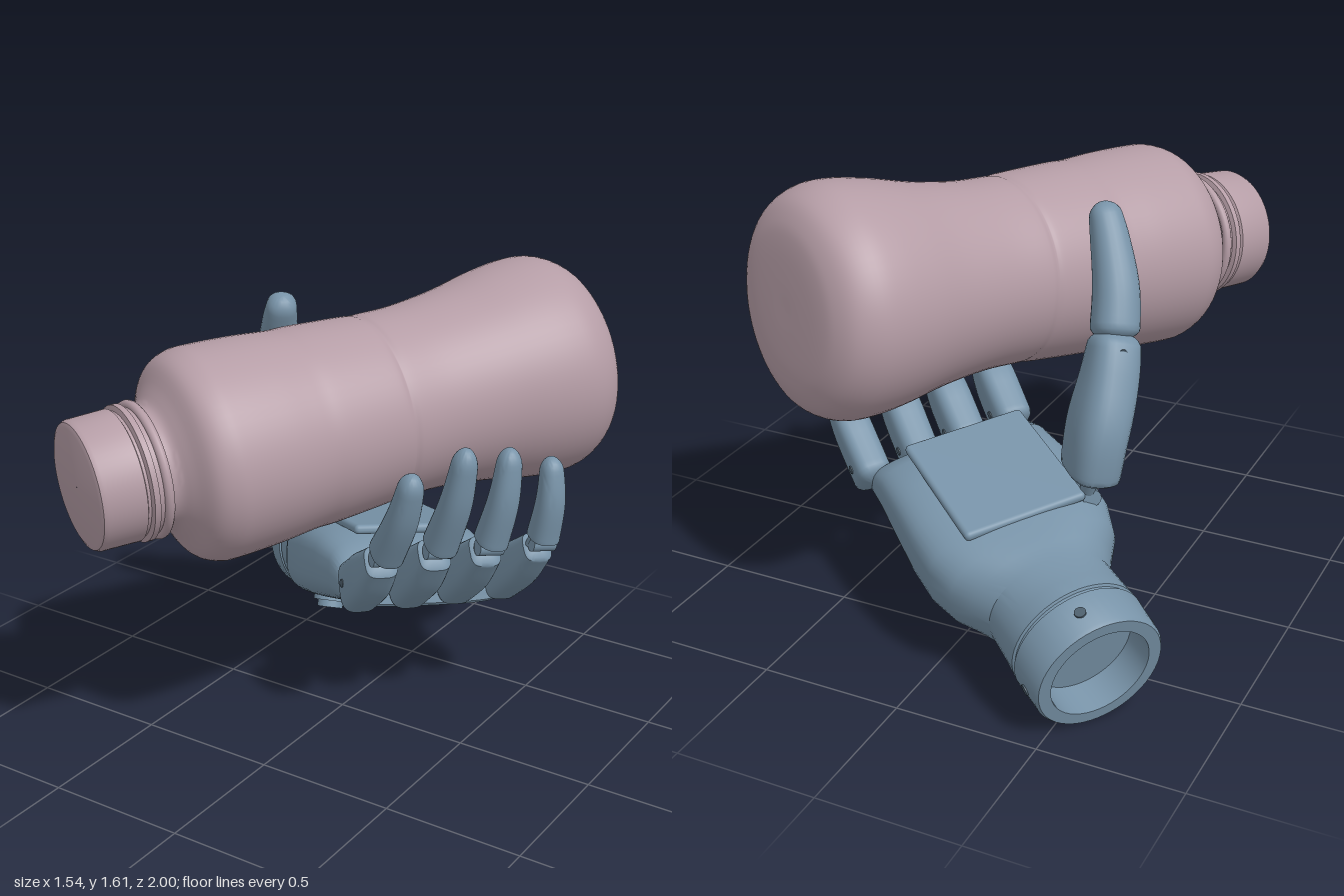
import * as THREE from 'three';
import { toCreasedNormals } from 'three/addons/utils/BufferGeometryUtils.js';
import { RoundedBoxGeometry } from 'three/addons/geometries/RoundedBoxGeometry.js';

const V = (x, y, z) => new THREE.Vector3(x, y, z);
const pink = new THREE.MeshStandardMaterial({ color: 0xb59da6 });
const blue = new THREE.MeshStandardMaterial({ color: 0x7893a8 });
const dark = new THREE.MeshStandardMaterial({ color: 0x4d5f6d });

// Hand frame: h towards the fingers, l across to the little finger, n out of the palm
const WRIST = V(-0.64, 0.225, -0.825);
const h = V(0.777, 0.24, 0.58).normalize();
const l = V(0.525, -0.14, -0.84).addScaledVector(h, 0.113).normalize();
const n = h.clone().cross(l).normalize();
const handPoint = (s, a, b) => WRIST.clone().addScaledVector(h, s).addScaledVector(l, a).addScaledVector(n, b);

function add(group, name, geometry, material) {
  const mesh = new THREE.Mesh(geometry, material);
  mesh.name = name;
  group.add(mesh);
  return mesh;
}

// Skins a list of closed superellipse rings { c, u, v, e }
function loft(rings, sides, crease) {
  const pos = [], idx = [];
  const pw = (x, e) => Math.sign(x) * Math.abs(x) ** (2 / e);
  for (const { c, u, v, e } of rings) {
    for (let j = 0; j < sides; j++) {
      const t = (j / sides) * Math.PI * 2;
      const p = c.clone().addScaledVector(u, pw(Math.cos(t), e)).addScaledVector(v, pw(Math.sin(t), e));
      pos.push(p.x, p.y, p.z);
    }
  }
  for (let i = 0; i < rings.length - 1; i++) {
    for (let j = 0; j < sides; j++) {
      const a = i * sides + j, b = i * sides + (j + 1) % sides;
      idx.push(a, b, a + sides, b, b + sides, a + sides);
    }
  }
  const g = new THREE.BufferGeometry();
  g.setAttribute('position', new THREE.Float32BufferAttribute(pos, 3));
  g.setIndex(idx);
  return toCreasedNormals(g, crease);
}

// Limb along a curve; radii are [across, deep], ends rounded over the given fractions
function limb(points, radii, across, round, e = 2.4) {
  const path = new THREE.CatmullRomCurve3(points);
  const size = new THREE.CatmullRomCurve3(radii.map(([a, b]) => V(a, b, 0)));
  const rings = [], steps = 24;
  for (let i = 0; i <= steps; i++) {
    const t = 0.5 - 0.5 * Math.cos((i / steps) * Math.PI);
    const w = path.getTangent(t);
    const u = across.clone().addScaledVector(w, -across.dot(w)).normalize();
    const v = w.clone().cross(u);
    const r = size.getPoint(t);
    const d = Math.max((round[0] - t) / round[0], (t - 1 + round[1]) / round[1], 0);
    const k = Math.max(0.004, Math.sqrt(Math.max(0, 1 - d * d)));
    rings.push({ c: path.getPoint(t), u: u.multiplyScalar(r.x * k), v: v.multiplyScalar(r.y * k), e });
  }
  return loft(rings, 28, 0.8);
}

// Cylinder between two points
function rod(group, name, a, b, r, material) {
  const d = b.clone().sub(a);
  const m = add(group, name, new THREE.CylinderGeometry(r, r, d.length(), 20), material);
  m.position.copy(a).add(b).multiplyScalar(0.5);
  m.quaternion.setFromUnitVectors(V(0, 1, 0), d.normalize());
}

function makeBottle() {
  const g = new THREE.Group();
  g.name = 'bottle';
  const end = V(-0.415, 1.1, 0.905), base = V(0.487, 1.24, -0.795);
  g.position.copy(end);
  g.quaternion.setFromUnitVectors(V(0, 1, 0), base.sub(end).normalize());
  const P = (list) => list.map(([t, r]) => new THREE.Vector2(r, t));
  const lathe = (pts) => toCreasedNormals(new THREE.LatheGeometry(pts, 64), 0.6);

  // Body with shoulder, soft dent, pressed groove, waist and rounded foot
  const body = new THREE.SplineCurve(P([[0.2, 0.2], [0.25, 0.207], [0.285, 0.25], [0.33, 0.325],
    [0.39, 0.356], [0.46, 0.36], [0.6, 0.354], [0.7, 0.345], [0.75, 0.341], [0.81, 0.341], [0.95, 0.333],
    [1.03, 0.327], [1.055, 0.321], [1.08, 0.324], [1.22, 0.325], [1.4, 0.345], [1.56, 0.376], [1.68, 0.391],
    [1.77, 0.386], [1.845, 0.348], [1.885, 0.285], [1.9, 0.215], [1.905, 0.1], [1.905, 0.001]]));
  add(g, 'bottleBody', lathe(body.getPoints(110)), pink).position.y = 0.015;

  add(g, 'cap', lathe(P([[0, 0.001], [0, 0.195], [0.006, 0.21], [0.02, 0.217], [0.15, 0.22],
    [0.155, 0.21], [0.165, 0.21], [0.17, 0.228], [0.19, 0.228], [0.195, 0.212], [0.215, 0.212]])), pink);
  const collar = add(g, 'neckCollar', new THREE.TorusGeometry(0.216, 0.016, 12, 64), pink);
  collar.rotation.x = Math.PI / 2;
  collar.position.y = 0.225;
  return g;
}

function makePalm() {
  const g = new THREE.Group();
  g.name = 'palmAndWrist';
  // Each row: distance along hand, half width, back depth, palm depth, squareness
  const rows = [[0.12, 0.001, 0.001, 0.001, 2], [0.12, 0.175, 0.175, 0.175, 2], [0, 0.175, 0.175, 0.175, 2],
    [0, 0.218, 0.218, 0.218, 2], [0.012, 0.226, 0.226, 0.226, 2], [0.14, 0.232, 0.23, 0.23, 2],
    [0.145, 0.222, 0.222, 0.222, 2], [0.155, 0.222, 0.222, 0.222, 2], [0.16, 0.23, 0.23, 0.23, 2],
    [0.22, 0.226, 0.222, 0.222, 2], [0.34, 0.222, 0.2, 0.195, 2.1], [0.4, 0.26, 0.185, 0.2, 2.3],
    [0.46, 0.305, 0.17, 0.205, 2.6], [0.56, 0.335, 0.15, 0.205, 3], [0.7, 0.338, 0.13, 0.2, 3.4],
    [0.86, 0.33, 0.11, 0.19, 3.4], [1.0, 0.32, 0.092, 0.16, 3.4], [1.08, 0.315, 0.083, 0.11, 3.4],
    [1.14, 0.305, 0.075, 0.02, 3.4], [1.15, 0.29, 0.065, 0.0, 3.4], [1.15, 0.001, 0.03, -0.028, 3.4]];
  const rings = rows.map(([s, w, lo, hi, e]) => ({
    c: handPoint(s, 0, (hi - lo) / 2), u: l.clone().multiplyScalar(w), v: n.clone().multiplyScalar((hi + lo) / 2), e }));
  add(g, 'palm', loft(rings, 48, 0.6), blue);

  // Raised grip pad
  const pad = add(g, 'palmPad', new RoundedBoxGeometry(0.5, 0.035, 0.44, 3, 0.016), blue);
  pad.position.copy(handPoint(0.78, -0.01, 0.195));
  pad.quaternion.setFromRotationMatrix(new THREE.Matrix4().makeBasis(h, n, l.clone().negate()));
  pad.rotateZ(-0.03);

  // Cuff screws and release button
  for (let i = 0; i < 4; i++) {
    const a = (i / 4) * Math.PI * 2 + 1.4;
    const at = (r) => handPoint(0.075, Math.cos(a) * r, Math.sin(a) * r);
    rod(g, 'cuffScrew', at(0.2), at(0.233), 0.019, dark);
  }
  const out = V(0.13, -0.88, 0.42).normalize();
  const root = handPoint(0.2, 0, 0);
  const along = (d) => root.clone().addScaledVector(out, d);
  rod(g, 'buttonCollar', along(0.17), along(0.235), 0.07, blue);
  rod(g, 'releaseButton', along(0.17), along(0.262), 0.052, blue);
  return g;
}

function makeFinger(name, base, joint, tip, k) {
  const g = new THREE.Group();
  g.name = name;
  const dir = joint.clone().sub(base).normalize();
  const across = l.clone();
  const deep = dir.clone().cross(across).normalize();
  const start = base.clone().addScaledVector(dir, -0.03);
  const stop = joint.clone().addScaledVector(dir, -0.03);
  add(g, 'lowerSegment', limb([start, base.clone().lerp(joint, 0.45).addScaledVector(deep, -0.008), stop],
    [[0.068 * k, 0.095 * k], [0.07 * k, 0.088 * k], [0.056 * k, 0.056 * k]], across, [0.1, 0.04], 3.4), blue);

  // Knuckle pins and the pair of links at the middle joint
  const pin = (c, w, r, m) => rod(g, 'jointPin', c.clone().addScaledVector(across, -w), c.clone().addScaledVector(across, w), r, m);
  pin(base.clone().addScaledVector(dir, 0.05), 0.073 * k, 0.015, dark);
  pin(joint, 0.046 * k, 0.03, blue);
  const up = tip.clone().sub(joint).normalize();
  for (const side of [-1, 1]) {
    const o = across.clone().multiplyScalar(side * 0.028);
    rod(g, 'jointLink', stop.clone().addScaledVector(dir, -0.03).add(o), joint.clone().addScaledVector(up, 0.05).add(o), 0.016, blue);
  }

  const foot = joint.clone().addScaledVector(up, 0.02);
  const bow = V(0.018, 0, 0.01);
  add(g, 'fingertip', limb([foot, foot.clone().lerp(tip, 0.5).add(bow), tip],
    [[0.058 * k, 0.068 * k], [0.052 * k, 0.056 * k], [0.038 * k, 0.042 * k]], across, [0.02, 0.16]), blue);
  return g;
}

function makeThumb() {
  const g = new THREE.Group();
  g.name = 'thumb';
  const across = V(0.66, 0, 0.75);
  // Hinge on the edge of the palm
  for (const side of [-1, 1]) {
    const o = across.clone().multiplyScalar(side * 0.045);
    rod(g, 'thumbLink', V(-0.32, 0.48, -0.28).add(o), V(-0.4, 0.74, -0.38).add(o), 0.027, blue);
  }
  rod(g, 'thumbPin', V(-0.405, 0.56, -0.365), V(-0.295, 0.56, -0.245), 0.032, blue);
  add(g, 'thumbLower', limb([V(-0.405, 0.655, -0.4), V(-0.422, 0.82, -0.38), V(-0.435, 1.0, -0.31), V(-0.428, 1.13, -0.25)],
    [[0.13, 0.085], [0.135, 0.09], [0.105, 0.088], [0.08, 0.078]], across, [0.08, 0.12], 2.8), blue);
  add(g, 'thumbTip', limb([V(-0.43, 1.1, -0.265), V(-0.402, 1.25, -0.195), V(-0.348, 1.4, -0.13), V(-0.305, 1.5, -0.09)],
    [[0.082, 0.08], [0.078, 0.075], [0.066, 0.062], [0.048, 0.048]], across, [0.08, 0.14]), blue);
  rod(g, 'thumbJointPin', V(-0.492, 1.09, -0.34), V(-0.367, 1.09, -0.195), 0.018, dark);
  return g;
}

export function createModel() {
  const model = new THREE.Group();
  model.name = 'handHoldingBottle';
  const hand = new THREE.Group();
  hand.name = 'hand';
  hand.add(makePalm(), makeThumb());

  const first = V(0.1, 0.545, 0.06), last = V(0.41, 0.475, -0.41);
  const fingers = [
    ['indexFinger', V(0.31, 0.77, 0.22), V(0.46, 1.125, 0.29), 1],
    ['middleFinger', V(0.425, 0.765, 0.06), V(0.55, 1.175, 0.105), 1],
    ['ringFinger', V(0.545, 0.755, -0.08), V(0.61, 1.13, -0.085), 0.97],
    ['littleFinger', V(0.66, 0.735, -0.25), V(0.68, 1.06, -0.25), 0.92]];
  fingers.forEach(([name, joint, tip, k], i) =>
    hand.add(makeFinger(name, first.clone().lerp(last, i / 3), joint, tip, k)));

  model.add(makeBottle(), hand);
  return model;
}
